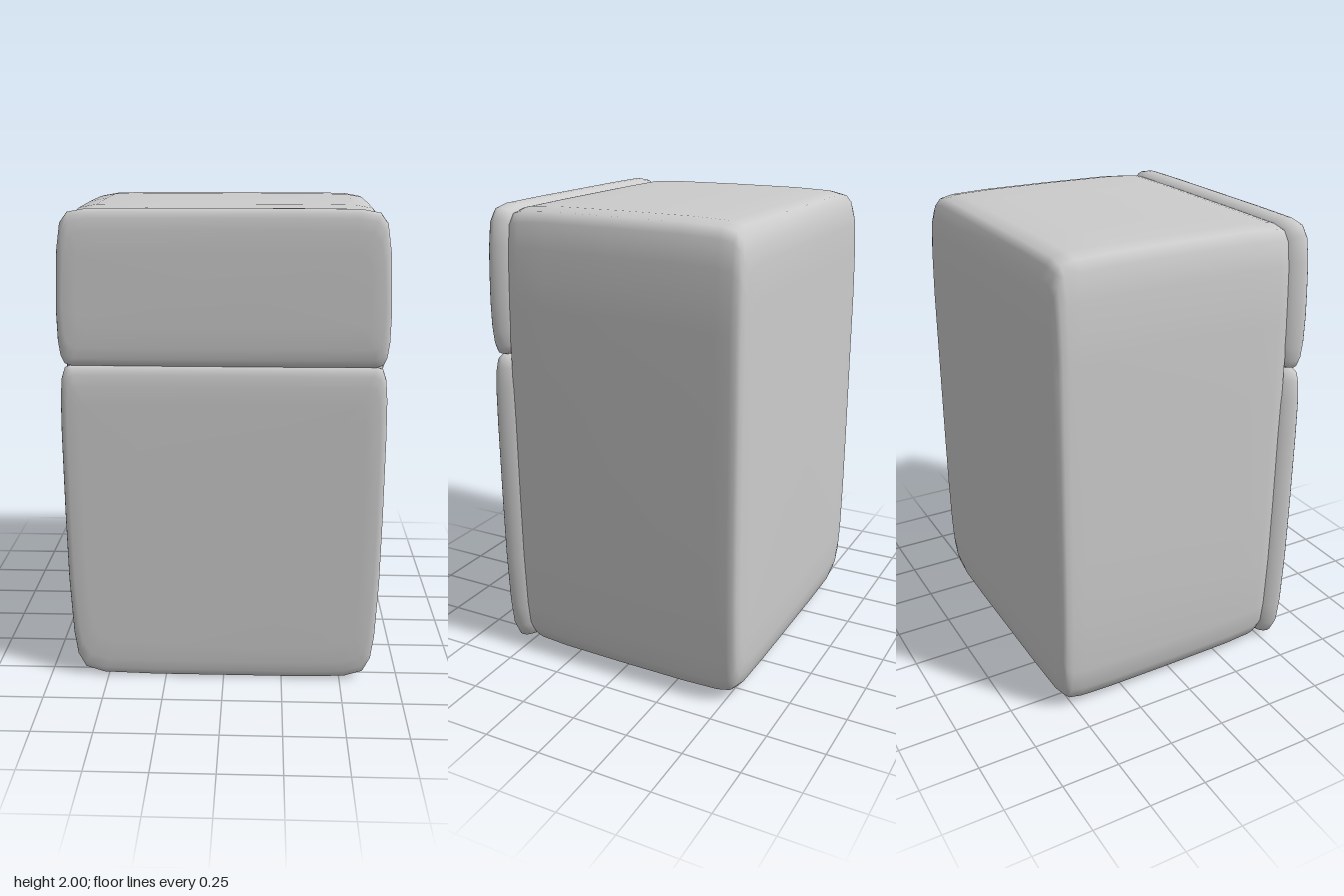
import * as THREE from 'three';

const material = new THREE.MeshStandardMaterial({ color: 0xcccccc });

// Soft slab: a mirrored outline (right half, bottom to top) swept along z.
// Each section is [z, inset in x, inset in y]; both ends are closed.
function softSlab(name, half, sections) {
  const outline = [...half, ...half.map(([x, y]) => [-x, y]).reverse()];
  const n = outline.length;
  const ys = half.map((p) => p[1]);
  const low = Math.min(...ys), high = Math.max(...ys);
  const midY = (low + high) / 2, halfH = (high - low) / 2;
  const halfW = Math.max(...half.map((p) => p[0]));
  const positions = [], index = [];

  for (const [z, insetX, insetY] of sections) {
    for (const [x, y] of outline) {
      positions.push(x * (1 - insetX / halfW), midY + (y - midY) * (1 - insetY / halfH), z);
    }
  }
  const last = (sections.length - 1) * n;
  const back = positions.length / 3, front = back + 1;
  positions.push(0, midY, sections[0][0], 0, midY, sections[sections.length - 1][0]);

  for (let j = 0; j < n; j++) {
    const k = (j + 1) % n;
    for (let a = 0; a < last; a += n) {
      index.push(a + j, a + k, a + n + k, a + j, a + n + k, a + n + j);
    }
    index.push(back, k, j, front, last + j, last + k);
  }
  const geometry = new THREE.BufferGeometry();
  geometry.setAttribute('position', new THREE.Float32BufferAttribute(positions, 3));
  geometry.setIndex(index);
  geometry.computeVertexNormals();
  const mesh = new THREE.Mesh(geometry, material);
  mesh.name = name;
  return mesh;
}

export function createModel() {
  const group = new THREE.Group();
  group.name = 'refrigerator';

  // Outer silhouette, split where the two doors meet
  const bottomCorner = [[0.3, 0], [0.52, 0.006], [0.6, 0.032], [0.632, 0.095], [0.646, 0.2], [0.657, 0.45], [0.66, 0.75]];
  const topCorner = [[0.66, 1.6], [0.656, 1.7], [0.648, 1.84], [0.632, 1.945], [0.602, 1.985], [0.53, 1.998], [0.3, 2]];

  // Cabinet, with a slight neck behind the doors
  group.add(softSlab('cabinet', [...bottomCorner, [0.66, 1.2], ...topCorner], [
    [-0.574, 0.1, 0.3], [-0.57, 0.035, 0.16], [-0.56, 0.012, 0.1], [-0.545, 0.003, 0.05],
    [-0.52, 0, 0.022], [-0.46, 0, 0.008], [-0.3, 0.001, 0.002], [0, 0.004, 0.001],
    [0.3, 0.008, 0.003], [0.43, 0.012, 0.01], [0.46, 0.017, 0.016], [0.485, 0.025, 0.025],
    [0.5, 0.06, 0.06],
  ]));

  // Doors, pillowed toward the front
  const doorSections = [
    [0.465, 0.035, 0.035], [0.48, 0.022, 0.018], [0.495, 0.012, 0.007], [0.515, 0.004, 0.001],
    [0.535, 0, 0], [0.548, 0.001, 0.003], [0.558, 0.005, 0.015], [0.566, 0.012, 0.035],
    [0.572, 0.028, 0.08], [0.575, 0.08, 0.16],
  ];
  group.add(softSlab('lowerDoor',
    [...bottomCorner, [0.66, 1.1], [0.657, 1.25], [0.65, 1.33], [0.636, 1.372], [0.61, 1.381], [0.3, 1.382]],
    doorSections));
  group.add(softSlab('freezerDoor',
    [[0.3, 1.378], [0.61, 1.379], [0.636, 1.388], [0.65, 1.42], [0.658, 1.48], ...topCorner],
    doorSections));

  return group;
}
